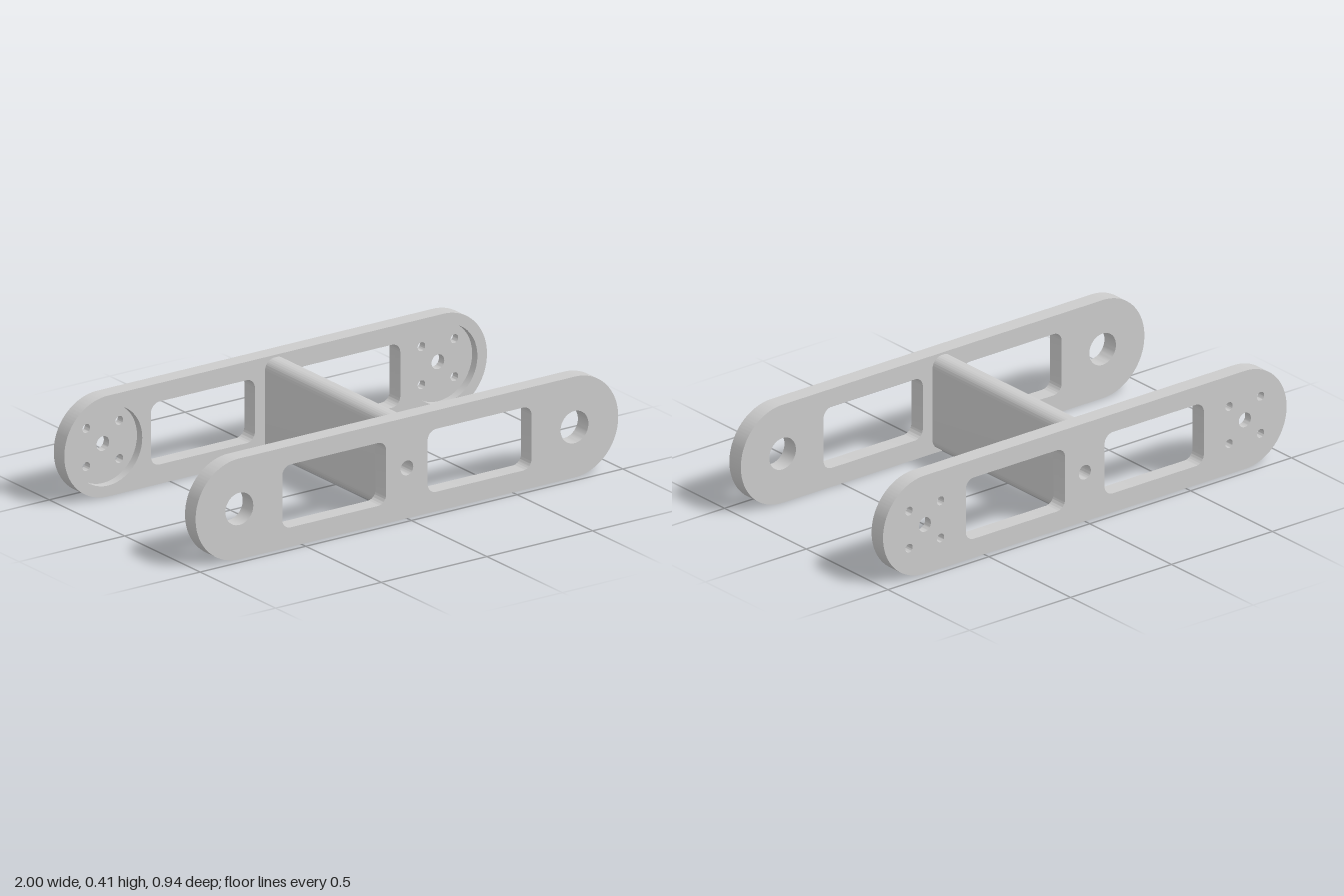
import * as THREE from 'three';
import { toCreasedNormals } from 'three/addons/utils/BufferGeometryUtils.js';

const H = 0.413, CY = H / 2, PIVOT = 0.793;
const Z_IN = 0.4, Z_OUT = 0.47, RECESS = 0.035;
const BORE = 0.03, BORE_DEPTH = 0.15;

const material = new THREE.MeshStandardMaterial({ color: 0xcccccc });

// Rounded rectangle centred on (cx, cy), as a Shape or a Path
function roundedRect(path, cx, cy, w, h, r) {
  const x = w / 2 - r, y = h / 2 - r;
  path.absarc(cx + x, cy + y, r, 0, Math.PI / 2);
  path.absarc(cx - x, cy + y, r, Math.PI / 2, Math.PI);
  path.absarc(cx - x, cy - y, r, Math.PI, Math.PI * 1.5);
  path.absarc(cx + x, cy - y, r, Math.PI * 1.5, Math.PI * 2);
  path.closePath();
  return path;
}

function circle(x, y, r) {
  return new THREE.Path().absarc(x, y, r, 0, Math.PI * 2);
}

// Extrudes a shape between two z positions, smooth on curves, sharp on edges
function slab(name, shape, z0, z1) {
  const geo = new THREE.ExtrudeGeometry(shape, { depth: z1 - z0, bevelEnabled: false, curveSegments: 24 });
  geo.translate(0, 0, z0);
  const mesh = new THREE.Mesh(toCreasedNormals(geo, 0.5), material);
  mesh.name = name;
  return mesh;
}

// Round-ended side plate outline with two windows and a centre screw hole
function plateShape(endHoles) {
  const shape = roundedRect(new THREE.Shape(), 0, CY, 2, H, CY - 0.0005);
  shape.holes.push(circle(0, CY, BORE));
  for (const s of [-1, 1]) {
    shape.holes.push(roundedRect(new THREE.Path(), s * 0.344, CY + 0.002, 0.492, 0.258, 0.04));
    shape.holes.push(...endHoles(s * PIVOT));
  }
  return shape;
}

export function createModel() {
  const group = new THREE.Group();
  group.name = 'linkArm';

  // Front plate with a plain pivot hole at each end
  group.add(slab('frontPlate', plateShape((x) => [circle(x, CY, 0.066)]), Z_IN, Z_OUT));

  // Back plate: outer skin with bolt pattern, inner layer with round recesses
  const boltPattern = (x) => {
    const holes = [circle(x, CY, BORE)];
    for (const dx of [-0.078, 0.078])
      for (const dy of [-0.078, 0.078]) holes.push(circle(x + dx, CY + dy, 0.018));
    return holes;
  };
  const backPlate = new THREE.Group();
  backPlate.name = 'backPlate';
  backPlate.add(
    slab('boltSkin', plateShape(boltPattern), -Z_OUT, -Z_IN - RECESS),
    slab('recessLayer', plateShape((x) => [circle(x, CY, 0.162)]), -Z_IN - RECESS, -Z_IN)
  );
  group.add(backPlate);

  // Cross web with rounded edges, bored for the centre screws
  const webShape = roundedRect(new THREE.Shape(), 0, 0.208, 0.1, 0.39, 0.045);
  webShape.holes.push(circle(0, CY, BORE));
  group.add(slab('crossWeb', webShape, -Z_IN, Z_IN));

  // Conical bottoms of the two blind screw holes
  for (const s of [-1, 1]) {
    const geo = new THREE.ConeGeometry(BORE, 0.018, 32, 1, true);
    geo.rotateX(-s * Math.PI / 2);
    const cone = new THREE.Mesh(geo, material.clone());
    cone.material.side = THREE.DoubleSide;
    cone.name = s > 0 ? 'frontScrewHoleBottom' : 'backScrewHoleBottom';
    cone.position.set(0, CY, s * (Z_OUT - BORE_DEPTH));
    group.add(cone);
  }
  return group;
}
